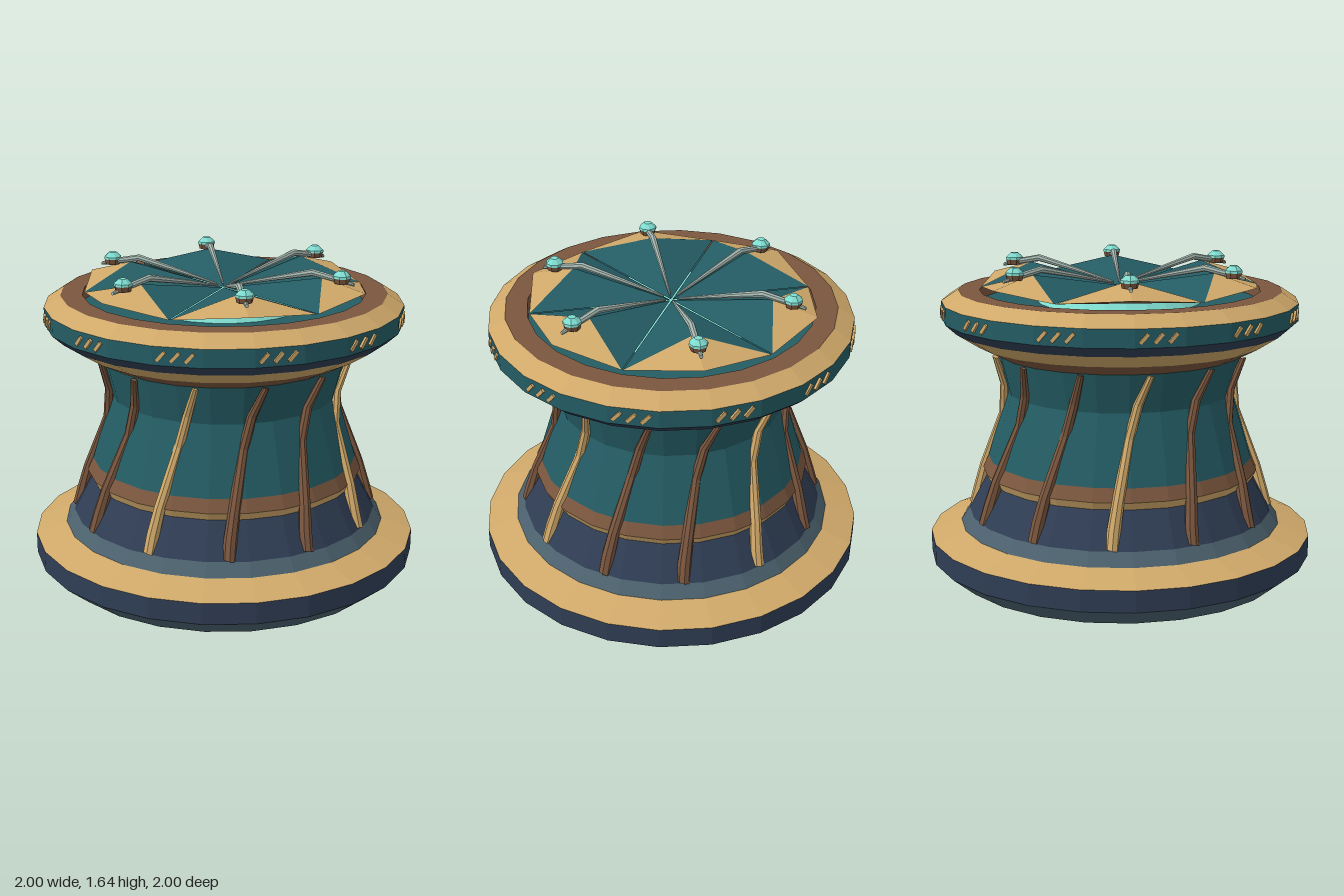
import * as THREE from 'three';

const mat = (name, color) => {
  const m = new THREE.MeshStandardMaterial({ color, flatShading: true });
  m.name = name;
  return m;
};
const rad = THREE.MathUtils.degToRad;

// tapered bar through points, closed at both ends
function taperedBar(points, radii, sides) {
  const pts = [points[0], ...points, points[points.length - 1]];
  const rs = [0, ...radii, 0];
  const t = points[points.length - 1].clone().sub(points[0]).normalize();
  const n = new THREE.Vector3(0, 1, 0);
  if (Math.abs(t.y) > 0.7) n.set(points[0].x, 0, points[0].z);
  n.addScaledVector(t, -n.dot(t)).normalize();
  const b = t.clone().cross(n);
  const pos = [], index = [];
  pts.forEach((p, i) => {
    for (let j = 0; j < sides; j++) {
      const a = (j / sides) * Math.PI * 2;
      const q = p.clone().addScaledVector(n, Math.cos(a) * rs[i]).addScaledVector(b, Math.sin(a) * rs[i]);
      pos.push(q.x, q.y, q.z);
      if (i === pts.length - 1) continue;
      const k = (j + 1) % sides, A = i * sides + j, B = i * sides + k;
      index.push(A, B, A + sides, B, B + sides, A + sides);
    }
  });
  const g = new THREE.BufferGeometry();
  g.setAttribute('position', new THREE.Float32BufferAttribute(pos, 3));
  g.setIndex(index);
  g.computeVertexNormals();
  return g;
}

// one roof petal along +x: teal inner faces, gold outer faces, brown underside
function petalGeometry() {
  const C = [0.008, 1.5, 0], a = [0.615, 1.5, -0.352], b = [0.615, 1.5, 0.352];
  const T = [0.745, 1.53, 0], A = [0.52, 1.592, 0];
  const faces = [C, b, A, C, A, a, b, T, A, A, T, a, C, a, b, a, T, b];
  const g = new THREE.BufferGeometry();
  g.setAttribute('position', new THREE.Float32BufferAttribute(faces.flat(), 3));
  g.computeVertexNormals();
  for (let i = 0; i < 3; i++) g.addGroup(i * 6, 6, i);
  return g;
}

export function createModel() {
  const model = new THREE.Group();
  const gold = mat('gold', 0xcfa869);
  const brown = mat('brown', 0x7a563e);
  const teal = mat('teal', 0x245c64);
  const navy = mat('navy', 0x2f3d54);
  const slate = mat('slate', 0x4b616d);
  const cyan = mat('cyan', 0x7fdcd0);
  const silver = mat('silver', 0xa3b5ae);

  const add = (name, geometry, material, parent = model) => {
    const m = new THREE.Mesh(geometry, material);
    m.name = name;
    parent.add(m);
    return m;
  };
  const band = (name, material, ...profile) =>
    add(name, new THREE.LatheGeometry(profile.map(p => new THREE.Vector2(...p)), 24), material);

  // body, from the foot up to the rim
  band('footUnderside', slate, [0, 0], [0.88, 0], [1, 0.1]);
  band('footBand', navy, [1, 0.1], [1, 0.21]);
  band('footTop', gold, [1, 0.21], [0.84, 0.265]);
  band('footCollar', slate, [0.84, 0.265], [0.795, 0.33]);
  band('lowerBody', navy, [0.795, 0.33], [0.7, 0.51]);
  band('waistTrim', gold, [0.7, 0.51], [0.72, 0.55]);
  band('waistBand', brown, [0.72, 0.55], [0.69, 0.615]);
  band('body', teal, [0.69, 0.615], [0.585, 0.96], [0.635, 1.16]);
  band('neckRing', brown, [0.635, 1.16], [0.75, 1.22]);
  band('neckTrim', gold, [0.75, 1.22], [0.86, 1.29]);
  band('rimUnderside', navy, [0.86, 1.29], [0.915, 1.34]);
  band('rimBand', teal, [0.915, 1.34], [0.915, 1.43]);
  band('rimTop', gold, [0.915, 1.43], [0.83, 1.485]);
  band('rimInnerRing', brown, [0.83, 1.485], [0.72, 1.485], [0.72, 1.42]);
  band('innerFloor', teal, [0.72, 1.42], [0, 1.42]);
  const core = add('glowingCore', new THREE.CylinderGeometry(0.38, 0.42, 0.05, 24), cyan);
  core.position.y = 1.445;

  // leaning ribs round the body: degrees, height, radius, thickness
  const ribPath = [
    [-7, 0.33, 0.77, 0.034], [-6.5, 0.42, 0.745, 0.034], [-5, 0.55, 0.71, 0.03],
    [0, 0.84, 0.605, 0.026], [4, 1.0, 0.6, 0.024], [9, 1.155, 0.65, 0.017],
  ];
  for (let k = 0; k < 12; k++) {
    const pts = ribPath.map(([d, y, r]) => {
      const a = rad(d + 30 * k);
      return new THREE.Vector3(Math.sin(a) * r, y, Math.cos(a) * r);
    });
    add('rib', taperedBar(pts, ribPath.map(p => p[3]), 8), k % 3 ? brown : gold);
  }

  // groups of three slanted dashes on the rim band
  const dash = new THREE.BoxGeometry(0.018, 0.06, 0.016);
  for (let k = 0; k < 12; k++) {
    for (let j = -1; j <= 1; j++) {
      const a = rad(7 + 30 * k + j * 4.3);
      const m = add('rimDash', dash, gold);
      m.position.set(Math.sin(a) * 0.912, 1.384, Math.cos(a) * 0.912);
      m.rotation.set(0, a, rad(-42));
    }
  }

  // roof petals, each with a bent rod and a gem
  const petal = petalGeometry();
  const V = (x, y) => new THREE.Vector3(x, y, 0);
  const rod = taperedBar(
    [V(0.04, 1.515), V(0.25, 1.565), V(0.47, 1.615), V(0.6, 1.59), V(0.685, 1.57)],
    [0.006, 0.012, 0.018, 0.016, 0.009], 8);
  const setting = new THREE.CylinderGeometry(0.045, 0.038, 0.03, 8);
  const gem = new THREE.LatheGeometry(
    [[0.047, 0], [0.045, 0.012], [0.02, 0.035], [0, 0.036]].map(p => new THREE.Vector2(...p)), 8);
  for (let k = 0; k < 6; k++) {
    const unit = new THREE.Group();
    unit.name = 'roofPetal';
    unit.rotation.y = (k * Math.PI) / 3;
    add('petal', petal, [teal, gold, brown], unit);
    add('rod', rod, silver, unit);
    add('gemSetting', setting, brown, unit).position.set(0.622, 1.588, 0);
    add('gem', gem, cyan, unit).position.set(0.622, 1.6, 0);
    model.add(unit);
  }
  return model;
}
